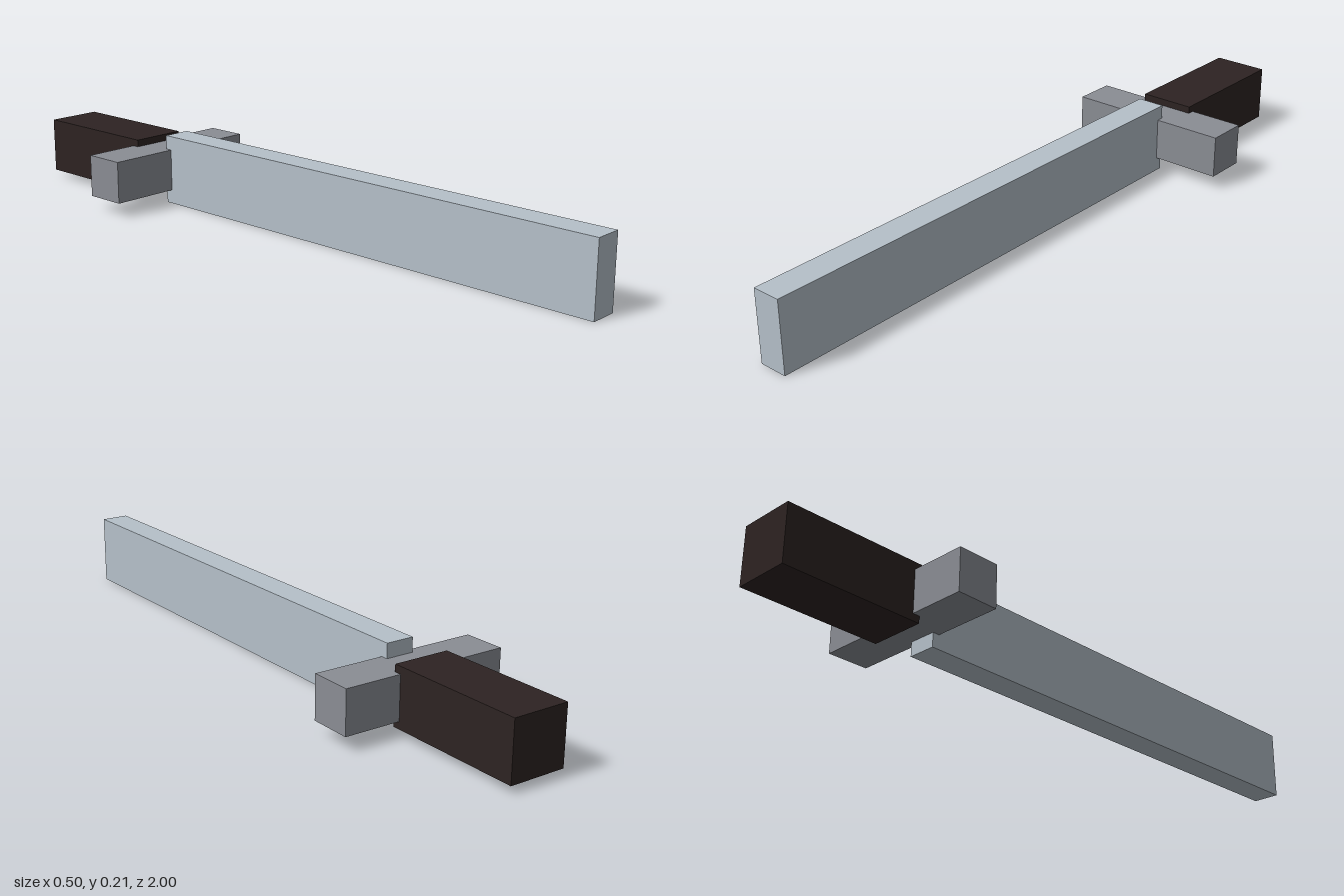
import * as THREE from 'three';

function makeMaterial(name, color) {
  const material = new THREE.MeshStandardMaterial({ color });
  material.name = name;
  return material;
}

export function createModel() {
  const sword = new THREE.Group();
  sword.name = 'sword';

  const steel = makeMaterial('pale steel', 0xb5c0c9);
  const iron = makeMaterial('grey iron', 0x8a8d94);
  const leather = makeMaterial('dark leather', 0x2d2322);

  const centreY = 0.1042; // all parts share one long axis

  // Box centred on the axis, running from zBack to zFront
  function addPart(name, width, height, zBack, zFront, material) {
    const geometry = new THREE.BoxGeometry(width, height, zFront - zBack);
    const mesh = new THREE.Mesh(geometry, material);
    mesh.name = name;
    mesh.position.set(0, centreY, (zBack + zFront) / 2);
    sword.add(mesh);
  }

  addPart('blade', 0.0833, 0.2083, -0.5, 1, steel);
  addPart('crossGuard', 0.5, 0.125, -0.6042, -0.4792, iron);
  addPart('grip', 0.1667, 0.1667, -1, -0.5833, leather);

  return sword;
}
